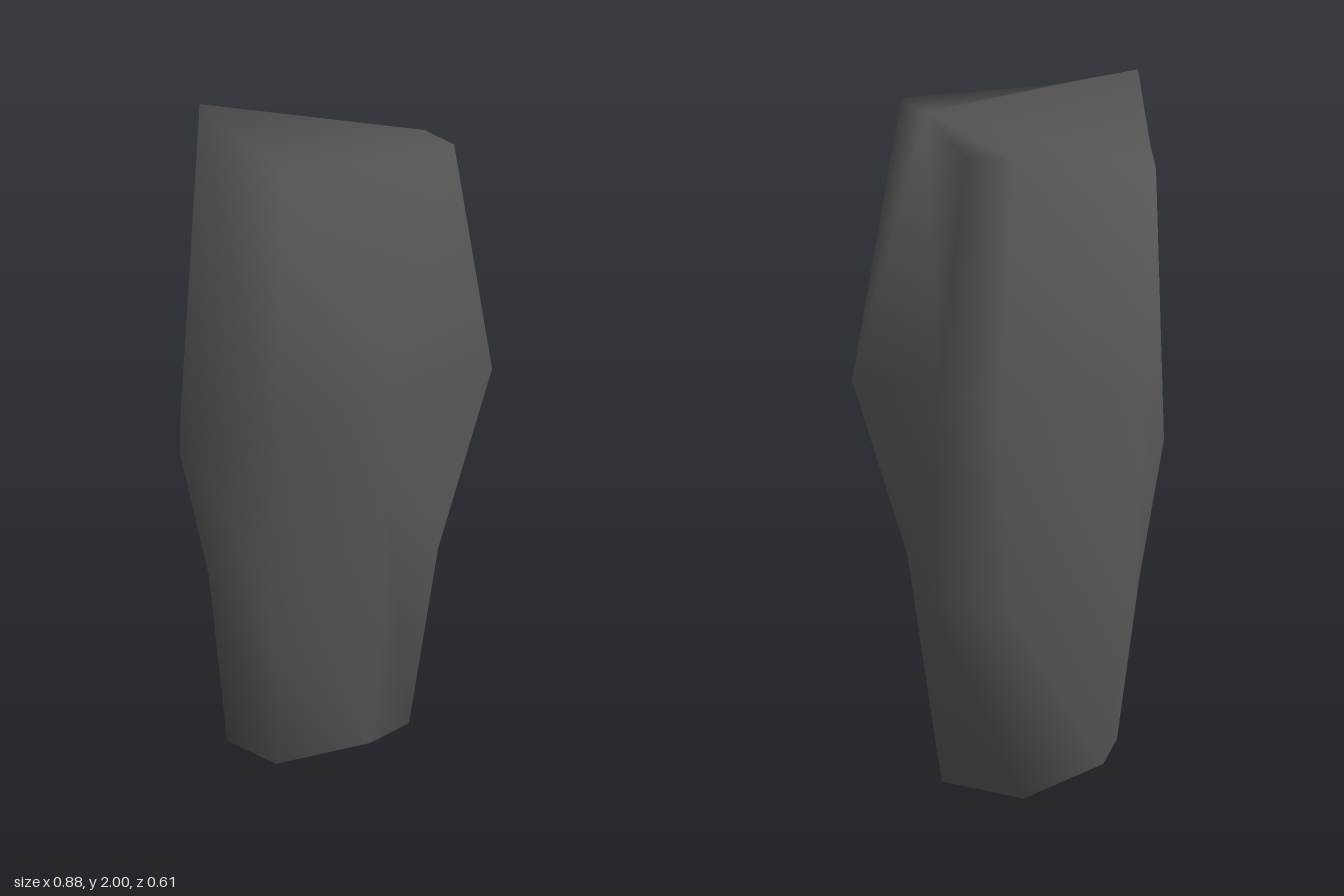
import * as THREE from 'three';

// Cross-sections from the ground up; each loop runs left, back, right, front as [x, y, z]
const rings = [
  [[-0.32, 0, -0.02], [-0.24, 0, -0.14], [-0.13, 0, -0.22], [0.16, 0, -0.23],
    [0.315, 0, -0.03], [0.21, 0, 0.19], [0.06, 0, 0.205], [-0.235, 0, 0.14]],
  [[-0.355, 0.58, 0.03], [-0.29, 0.55, -0.16], [-0.17, 0.62, -0.295], [0.225, 0.65, -0.255],
    [0.35, 0.62, -0.06], [0.29, 0.65, 0.18], [0.08, 0.93, 0.235], [-0.26, 0.6, 0.2]],
  [[-0.445, 1.23, 0.06], [-0.35, 0.98, -0.175], [-0.185, 1.2, -0.305], [0.245, 1.24, -0.25],
    [0.33, 1.25, -0.1], [0.44, 1.21, 0.175], [0.04, 1.34, 0.305], [-0.275, 1.25, 0.265]],
  [[-0.27, 2, -0.11], [-0.235, 1.83, -0.215], [-0.185, 1.79, -0.305], [0.165, 1.83, -0.2],
    [0.235, 1.83, -0.09], [0.235, 1.91, 0.1], [0.225, 1.925, 0.245], [-0.21, 1.925, 0.2]],
];
const RIDGE_END = 5; // top corner where the ridge from the peak comes down

function loft(loops) {
  const n = loops[0].length;
  const last = (loops.length - 1) * n;
  const index = [];
  // Walls
  for (let i = 0; i < loops.length - 1; i++) {
    for (let j = 0; j < n; j++) {
      const a = i * n + j;
      const b = i * n + (j + 1) % n;
      index.push(b, a, b + n, a, a + n, b + n);
    }
  }
  // Flat underside, and a broken top that folds along the ridge
  for (let j = 1; j < n - 1; j++) {
    index.push(0, j, j + 1);
    index.push(last + RIDGE_END, last + (RIDGE_END + j + 1) % n, last + (RIDGE_END + j) % n);
  }
  const geometry = new THREE.BufferGeometry();
  geometry.setAttribute('position', new THREE.Float32BufferAttribute(loops.flat(2), 3));
  geometry.setIndex(index);
  geometry.computeVertexNormals();
  return geometry;
}

export function createModel() {
  const group = new THREE.Group();
  group.name = 'standingStone';
  const stone = new THREE.MeshStandardMaterial({ color: 0x5a5a5a });
  stone.name = 'dark grey stone';
  const pillar = new THREE.Mesh(loft(rings), stone);
  pillar.name = 'rockPillar';
  group.add(pillar);
  return group;
}
